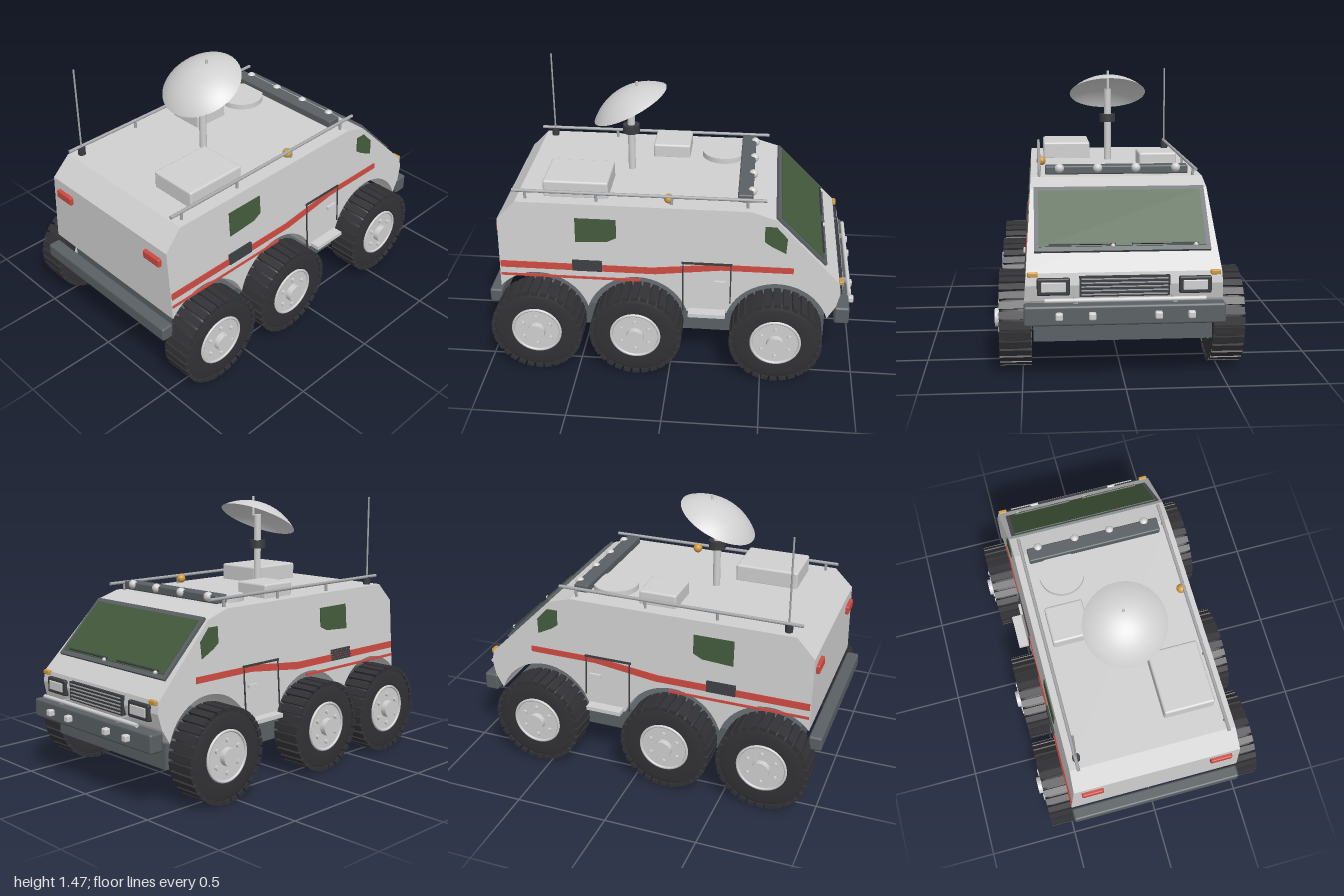
import * as THREE from 'three';
import { mergeGeometries, toCreasedNormals } from 'three/addons/utils/BufferGeometryUtils.js';
import { RoundedBoxGeometry } from 'three/addons/geometries/RoundedBoxGeometry.js';

const paint = (name, color, side = THREE.FrontSide) => {
  const m = new THREE.MeshStandardMaterial({ color, side });
  m.name = name;
  return m;
};
const M = {
  body: paint('light grey', 0xd0d0d0, THREE.DoubleSide),
  slate: paint('slate trim', 0x5a6064),
  rubber: paint('black rubber', 0x323236),
  dark: paint('dark detail', 0x3a3d40),
  glass: paint('green glass', 0x435a3c),
  red: paint('red', 0xcc4a40),
  amber: paint('amber', 0xcf9a3e),
  steel: paint('steel', 0xa4a6a8),
};

// Half width of the hull, narrowing towards the roof
const halfWidth = (y) => 0.485 - 0.0693 * (y - 0.45);

export function createModel() {
  const root = new THREE.Group();
  root.name = 'sixWheeledRover';

  const add = (name, geo, mat, x = 0, y = 0, z = 0, parent = root) => {
    const mesh = new THREE.Mesh(geo, mat);
    mesh.name = name;
    mesh.position.set(x, y, z);
    parent.add(mesh);
    return mesh;
  };
  const box = (w, h, d) => new THREE.BoxGeometry(w, h, d);
  const rbox = (w, h, d, r = 0.012) => new RoundedBoxGeometry(w, h, d, 2, r);
  const rod = (r, h, seg = 16) => new THREE.CylinderGeometry(r, r, h, seg);

  // Extrude a (z, y) outline across x
  const acrossX = (pts, width) => {
    const shape = new THREE.Shape(pts.map(([z, y]) => new THREE.Vector2(-z, y)));
    const g = new THREE.ExtrudeGeometry(shape, { depth: width, bevelEnabled: false });
    return g.translate(0, 0, -width / 2).rotateY(Math.PI / 2);
  };
  // Thin plates following both sloping sides
  const sidePlates = (name, pts, mat, t = 0.009) => {
    for (const s of [-1, 1]) {
      const g = acrossX(pts, t), p = g.attributes.position;
      for (let i = 0; i < p.count; i++) p.setX(i, p.getX(i) + s * halfWidth(p.getY(i)));
      g.computeVertexNormals();
      add(name, g, mat);
    }
  };
  const rect = (z0, z1, y0, y1) => [[z0, y0], [z1, y0], [z1, y1], [z0, y1]];

  // Hull with three wheel arches cut out of its lower edge
  const wheelZ = [-0.575, 0.18, 0.72];
  const outline = [[0.93, 0.85], [0.83, 0.955], [-0.42, 0.955], [-0.55, 0.915],
    [-0.9, 0.56], [-0.91, 0.5], [-0.89, 0.42]];
  wheelZ.forEach((zc, k) => {
    const a0 = 0.321, a1 = k === 2 ? 2.4 : Math.PI - a0;
    for (let i = 0; i <= 20; i++) {
      const a = a0 + (a1 - a0) * i / 20;
      if (k === 2 && i === 0) continue;
      outline.push([zc - 0.285 * Math.cos(a), 0.255 + 0.285 * Math.sin(a)]);
    }
  });
  const hull = acrossX(outline, 2), hp = hull.attributes.position;
  for (let i = 0; i < hp.count; i++) hp.setX(i, hp.getX(i) * halfWidth(hp.getY(i)));
  hull.computeVertexNormals();
  add('hull', hull, M.body);

  // Chassis and bumpers
  add('chassis', box(0.89, 0.135, 1.68), M.slate, 0, 0.265, 0.005);
  add('rearBumper', rbox(0.97, 0.08, 0.07), M.slate, 0, 0.375, 0.965);
  add('frontBumper', rbox(0.98, 0.1, 0.08), M.slate, 0, 0.362, -0.925);

  // Wheels: tyre, tread lugs, rim, hub and bolts, axle along local y
  const tyre = toCreasedNormals(new THREE.LatheGeometry([[0.125, -0.06], [0.14, -0.075], [0.205, -0.078],
    [0.23, -0.07], [0.238, -0.05], [0.238, 0.05], [0.23, 0.07], [0.205, 0.078], [0.14, 0.075], [0.125, 0.06]]
    .map(([r, h]) => new THREE.Vector2(r, h)), 48), 0.6);
  const lugs = [], bolts = [];
  for (let i = 0; i < 30; i++) {
    lugs.push(box(0.022, 0.16, 0.038).translate(0.238, 0, 0).rotateY(i * Math.PI / 15));
  }
  for (let i = 0; i < 6; i++) {
    bolts.push(rod(0.012, 0.02, 8).translate(0.085, 0.08, 0).rotateY(i * Math.PI / 3));
  }
  const tread = mergeGeometries(lugs), nuts = mergeGeometries(bolts);
  for (const z of wheelZ) for (const s of [-1, 1]) {
    const wheel = new THREE.Group();
    wheel.name = 'wheel';
    wheel.position.set(s * 0.535, 0.25, z);
    wheel.rotation.z = -s * Math.PI / 2;
    root.add(wheel);
    add('tyre', tyre, M.rubber, 0, 0, 0, wheel);
    add('tread', tread, M.rubber, 0, 0, 0, wheel);
    add('rim', rod(0.132, 0.15, 40), M.body, 0, 0, 0, wheel);
    const lip = add('rimLip', new THREE.TorusGeometry(0.13, 0.008, 8, 40), M.body, 0, 0.075, 0, wheel);
    lip.rotation.x = Math.PI / 2;
    add('hub', rod(0.048, 0.035, 24), M.body, 0, 0.09, 0, wheel);
    add('wheelBolts', nuts, M.body, 0, 0, 0, wheel);
  }

  // Stripes, side windows, louvres, door seams
  sidePlates('upperStripe', [[0.925, 0.565], [0.08, 0.565], [-0.27, 0.607], [-0.655, 0.607],
    [-0.655, 0.64], [-0.25, 0.64], [0.1, 0.603], [0.925, 0.603]], M.red, 0.008);
  sidePlates('lowerStripe', rect(0.925, 0.16, 0.515, 0.529), M.red, 0.008);
  sidePlates('rearWindow', [[0.51, 0.735], [0.34, 0.745], [0.29, 0.77], [0.29, 0.875], [0.51, 0.875]], M.glass);
  sidePlates('cabWindow', [[-0.495, 0.79], [-0.53, 0.765], [-0.61, 0.725], [-0.615, 0.81],
    [-0.555, 0.875], [-0.495, 0.875]], M.glass);
  for (let i = 0; i < 5; i++) {
    sidePlates('louvre', rect(0.53, 0.37, 0.567 + i * 0.013, 0.576 + i * 0.013), M.dark, 0.022);
  }
  sidePlates('doorTopSeam', rect(-0.06, -0.33, 0.636, 0.647), M.dark, 0.012);
  sidePlates('doorRearSeam', rect(-0.064, -0.071, 0.35, 0.64), M.dark, 0.01);
  sidePlates('doorFrontSeam', rect(-0.32, -0.327, 0.41, 0.64), M.dark, 0.01);
  sidePlates('doorHandle', rect(-0.235, -0.3, 0.526, 0.543), M.body, 0.03);
  for (const s of [-1, 1]) add('doorStep', box(0.08, 0.022, 0.2), M.body, s * 0.508, 0.355, -0.2);

  // Windscreen on the sloping nose
  const screen = new THREE.Group();
  screen.name = 'windscreen';
  screen.position.set(0, 0.778, -0.685);
  screen.rotation.x = -0.792;
  root.add(screen);
  add('windscreenFrame', box(0.87, 0.03, 0.385), M.slate, 0, 0, 0, screen);
  add('windscreenGlass', box(0.825, 0.008, 0.335), M.glass, 0, 0.015, 0, screen);
  for (const x of [-0.36, 0.05]) {
    add('wiperPivot', new THREE.SphereGeometry(0.011, 12, 8), M.body, x, 0.024, -0.17, screen);
    add('wiperBlade', box(0.33, 0.008, 0.008), M.dark, x + 0.15, 0.024, -0.158, screen);
  }

  // Nose: grille, headlamps, indicators, bumper bar and lamps
  add('grille', box(0.44, 0.1, 0.025), M.dark, 0, 0.495, -0.91);
  for (let i = 0; i < 5; i++) add('grilleBar', box(0.42, 0.006, 0.01), M.steel, 0, 0.457 + i * 0.019, -0.922);
  for (const s of [-1, 1]) {
    add('headlampFrame', rbox(0.16, 0.085, 0.03, 0.008), M.dark, s * 0.345, 0.495, -0.908);
    add('headlamp', rbox(0.12, 0.05, 0.012, 0.005), M.body, s * 0.345, 0.495, -0.922);
    add('frontIndicator', rbox(0.05, 0.024, 0.022, 0.006), M.amber, s * 0.445, 0.555, -0.908);
    add('tailLamp', rbox(0.12, 0.048, 0.03, 0.008), M.red, s * 0.357, 0.773, 0.935);
    add('barBracket', box(0.02, 0.02, 0.08), M.steel, s * 0.24, 0.435, -0.93);
    for (const x of [0.16, 0.32]) add('bumperLamp', rbox(0.036, 0.036, 0.035, 0.008), M.body, s * x, 0.365, -0.98);
  }
  add('bumperBar', rod(0.011, 0.78).rotateZ(Math.PI / 2), M.body, 0, 0.44, -0.965);

  // Roof equipment
  add('largeRoofBox', rbox(0.275, 0.1, 0.35), M.body, 0.2375, 0.997, 0.515);
  add('smallRoofBox', rbox(0.21, 0.085, 0.21), M.body, -0.26, 0.988, 0.052);
  add('roofHatch', rod(0.125, 0.035, 40), M.body, -0.22, 0.968, -0.245);
  add('lightBar', rbox(0.75, 0.045, 0.08, 0.008), M.slate, 0, 0.99, -0.385);
  for (const x of [-0.31, -0.1, 0.1, 0.3]) {
    add('roofLamp', new THREE.SphereGeometry(0.025, 16, 12), M.body, x, 1.0, -0.42);
  }
  for (const s of [-1, 1]) {
    add('roofRail', rod(0.009, 1.35).rotateX(Math.PI / 2), M.steel, s * 0.405, 1.0, 0.175);
    for (const z of [-0.4, 0.0, 0.4, 0.78]) add('railPost', rod(0.008, 0.06, 10), M.steel, s * 0.405, 0.975, z);
  }
  add('beacon', new THREE.SphereGeometry(0.026, 20, 14), M.amber, 0.392, 0.983, 0.015);
  add('aerialBase', rod(0.021, 0.045), M.dark, -0.4, 0.975, 0.775);
  add('aerial', rod(0.005, 0.48, 8), M.steel, -0.4, 1.225, 0.775);

  // Dish on its mast
  add('mast', rod(0.02, 0.42, 20), M.body, 0, 1.16, 0.26);
  add('mastCollar', rbox(0.09, 0.045, 0.09, 0.01), M.dark, 0, 1.2, 0.26).geometry = rod(0.046, 0.045, 24);
  const dish = new THREE.Group();
  dish.name = 'dish';
  dish.position.set(0, 1.343, 0.262);
  dish.rotation.x = 0.458;
  root.add(dish);
  add('dishShell', new THREE.SphereGeometry(0.314, 48, 14, 0, Math.PI * 2, 0, 0.776), M.body, 0, -0.224, 0, dish);
  add('dishFeed', rod(0.007, 0.11, 10), M.body, 0, 1.42, 0.225);

  return root;
}
